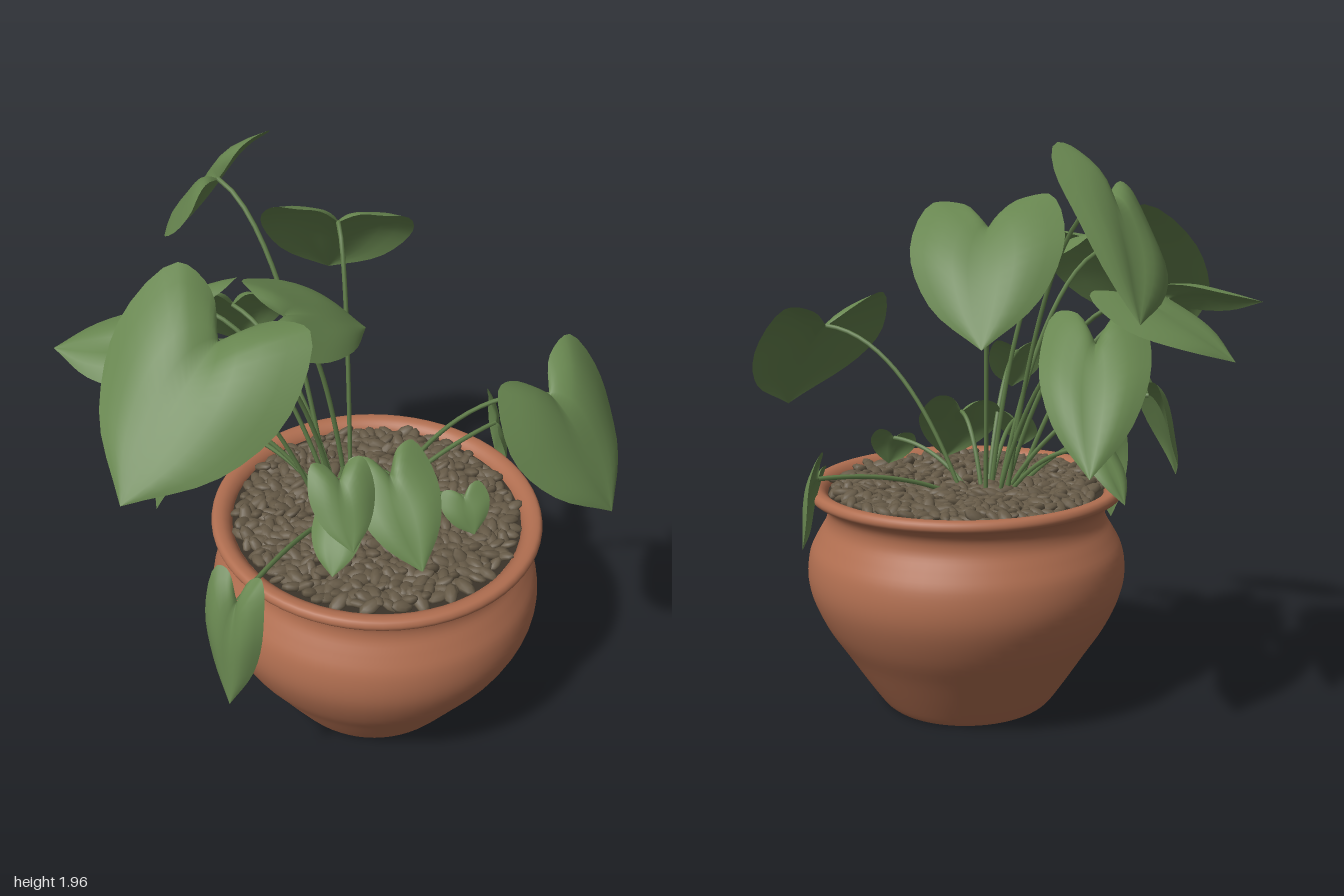
import * as THREE from 'three';
import { mergeGeometries } from 'three/addons/utils/BufferGeometryUtils.js';

const material = (name, color, side = THREE.FrontSide) => {
  const m = new THREE.MeshStandardMaterial({ color, side });
  m.name = name;
  return m;
};

function seeded(seed) {
  return () => {
    seed = (seed * 16807) % 2147483647;
    return seed / 2147483647;
  };
}

// Heart-shaped blade from stem joint to tip, lofted between a bowed midrib and
// two spline edges; roll turns the blade about its own length
function leafGeometry(B, T, halfWidth, roll, seed) {
  const axis = T.clone().sub(B), len = axis.length();
  axis.normalize();
  const side = new THREE.Vector3(-axis.z, 0, axis.x).normalize().applyAxisAngle(axis, -roll);
  const normal = side.clone().cross(axis);
  const at = (along, out) => B.clone()
    .addScaledVector(axis, along * len)
    .addScaledVector(side, out * halfWidth);
  const edges = [-1, 1].map((k) => new THREE.CatmullRomCurve3(
    [B, at(-0.23, 0.36 * k), at(-0.27, 0.78 * k), at(0.16, 1.02 * k), at(0.62, 0.72 * k), T],
    false, 'centripetal'));
  const rows = 20, half = 5, cols = half * 2 + 1, pos = [], idx = [];
  for (let i = 0; i <= rows; i++) {
    const s = i / rows, swell = Math.sin(Math.PI * s);
    const mid = B.clone().lerp(T, Math.pow(s, 1.5)).addScaledVector(normal, len * 0.07 * swell);
    for (let j = -half; j <= half; j++) {
      const v = Math.abs(j) / half;
      const p = mid.clone().lerp(edges[j < 0 ? 0 : 1].getPoint(s), v);
      const lift = 0.06 * Math.sin(Math.PI * v) + 0.035 * v * Math.sin(s * 10 + seed);
      p.addScaledVector(normal, len * lift * swell);
      pos.push(p.x, p.y, p.z);
    }
  }
  for (let i = 0; i < rows; i++) {
    for (let j = 0; j < cols - 1; j++) {
      const a = i * cols + j, b = a + cols;
      idx.push(a, a + 1, b, a + 1, b + 1, b);
    }
  }
  const g = new THREE.BufferGeometry();
  g.setAttribute('position', new THREE.Float32BufferAttribute(pos, 3));
  g.setIndex(idx);
  g.computeVertexNormals();
  return g;
}

// Thin stalk arching from the crown of the plant to a leaf joint
function stemGeometry(end, rand) {
  const start = new THREE.Vector3(
    0.06 + end.x * 0.18 + (rand() - 0.5) * 0.06, 0.76,
    0.14 + end.z * 0.1 + (rand() - 0.5) * 0.06);
  const bend = start.clone().lerp(end, 0.42);
  bend.y = end.y - 0.04 * (end.y - 0.8);
  return new THREE.TubeGeometry(new THREE.QuadraticBezierCurve3(start, bend, end), 18, 0.008, 6);
}

// Ellipsoid stones spread in a sunflower spiral over the soil
function pebbleGeometry(count, radius) {
  const rand = seeded(77), stone = new THREE.SphereGeometry(1, 8, 5), parts = [];
  const q = new THREE.Quaternion(), m = new THREE.Matrix4();
  for (let i = 0; i < count; i++) {
    const r = radius * Math.sqrt((i + 0.5) / count), a = i * 2.39996;
    q.setFromEuler(new THREE.Euler((rand() - 0.5) * 1.4, rand() * 6.28, (rand() - 0.5) * 0.9));
    const k = 0.85 + rand() * 0.4;
    m.compose(
      new THREE.Vector3(r * Math.cos(a), 0.772 + rand() * 0.016, r * Math.sin(a)), q,
      new THREE.Vector3(0.036 * k, 0.014 * k, 0.02 * k));
    parts.push(stone.clone().applyMatrix4(m));
  }
  return mergeGeometries(parts);
}

export function createModel() {
  const model = new THREE.Group();
  model.name = 'pottedPlant';
  const terracotta = material('terracotta', 0xb06e50, THREE.DoubleSide);
  const soilMat = material('dark soil', 0x3a3329);
  const stoneMat = material('brown stone', 0x665a47);
  const leafMat = material('leaf green', 0x67854f, THREE.DoubleSide);
  const stemMat = material('stem green', 0x607d49);
  const add = (parent, name, geometry, mat) => {
    const mesh = new THREE.Mesh(geometry, mat);
    mesh.name = name;
    parent.add(mesh);
    return mesh;
  };

  // Pot with a flared rim
  const pot = new THREE.Group();
  pot.name = 'pot';
  pot.position.set(0.11, 0, 0.22);
  model.add(pot);
  const profile = new THREE.SplineCurve([
    [0.295, 0], [0.315, 0.02], [0.37, 0.1], [0.435, 0.2], [0.5, 0.3], [0.545, 0.4], [0.56, 0.48],
    [0.55, 0.56], [0.52, 0.62], [0.492, 0.67], [0.49, 0.715], [0.515, 0.75], [0.545, 0.762],
    [0.552, 0.78], [0.54, 0.797], [0.51, 0.795], [0.485, 0.77], [0.475, 0.72],
  ].map(([r, y]) => new THREE.Vector2(r, y)));
  add(pot, 'potWall', new THREE.LatheGeometry(profile.getPoints(68), 64), terracotta);
  add(pot, 'potBase', new THREE.CircleGeometry(0.295, 64).rotateX(Math.PI / 2), terracotta);
  add(pot, 'soil', new THREE.CircleGeometry(0.483, 48).rotateX(-Math.PI / 2), soilMat).position.y = 0.768;
  add(pot, 'pebbles', pebbleGeometry(620, 0.465), stoneMat);

  // Foliage: each leaf is stem joint x y z, tip x y z, half width, roll
  const foliage = new THREE.Group();
  foliage.name = 'foliage';
  model.add(foliage);
  const rand = seeded(11);
  const grow = (name, leaves) => leaves.forEach(([x, y, z, tx, ty, tz, halfWidth, roll], i) => {
    const joint = new THREE.Vector3(x, y, z), tip = new THREE.Vector3(tx, ty, tz);
    add(foliage, `${name}Leaf${i + 1}`, leafGeometry(joint, tip, halfWidth, roll, i * 1.7), leafMat);
    add(foliage, `${name}Stem${i + 1}`, stemGeometry(joint, rand), stemMat);
  });
  grow('tall', [
    [-0.2, 1.8, -0.36, -0.16, 1.47, -0.78, 0.22, 0.66],
    [0.11, 1.7, -0.12, 0.21, 1.36, -0.43, 0.24, -0.12],
    [-0.42, 1.6, 0.24, -0.8, 1.26, 0.44, 0.29, 0.3],
    [-0.35, 1.46, -0.19, -0.63, 1.28, -0.38, 0.2, -0.15],
    [-0.18, 1.35, -0.33, -0.06, 1.0, -0.65, 0.17, 0],
    [-0.54, 1.44, -0.02, -0.82, 1.44, -0.16, 0.14, 0.4],
    [0.55, 1.32, 0.5, 0.67, 1.0, 0.74, 0.28, 0.08],
    [-0.18, 1.57, 0.14, 0.13, 1.41, 0.06, 0.17, -0.4],
  ]);
  grow('low', [
    [0.1, 1.02, 0.33, 0.11, 0.8, 0.57, 0.14, -0.2],
    [0.65, 0.88, 0.04, 0.72, 0.67, -0.06, 0.13, -1.2],
    [-0.15, 1.2, 0.5, -0.17, 1.04, 0.65, 0.1, 0],
    [-0.12, 0.96, 0.42, -0.18, 0.84, 0.52, 0.08, -0.1],
    [0.33, 0.92, 0.41, 0.34, 0.81, 0.48, 0.08, -0.3],
    [-0.5, 0.87, 0.54, -0.56, 0.51, 0.6, 0.1, -0.1],
    [-0.43, 1.14, -0.14, -0.58, 0.83, -0.02, 0.13, -0.65],
    [-0.25, 0.97, -0.15, -0.3, 0.81, -0.29, 0.07, 0],
  ]);
  return model;
}
